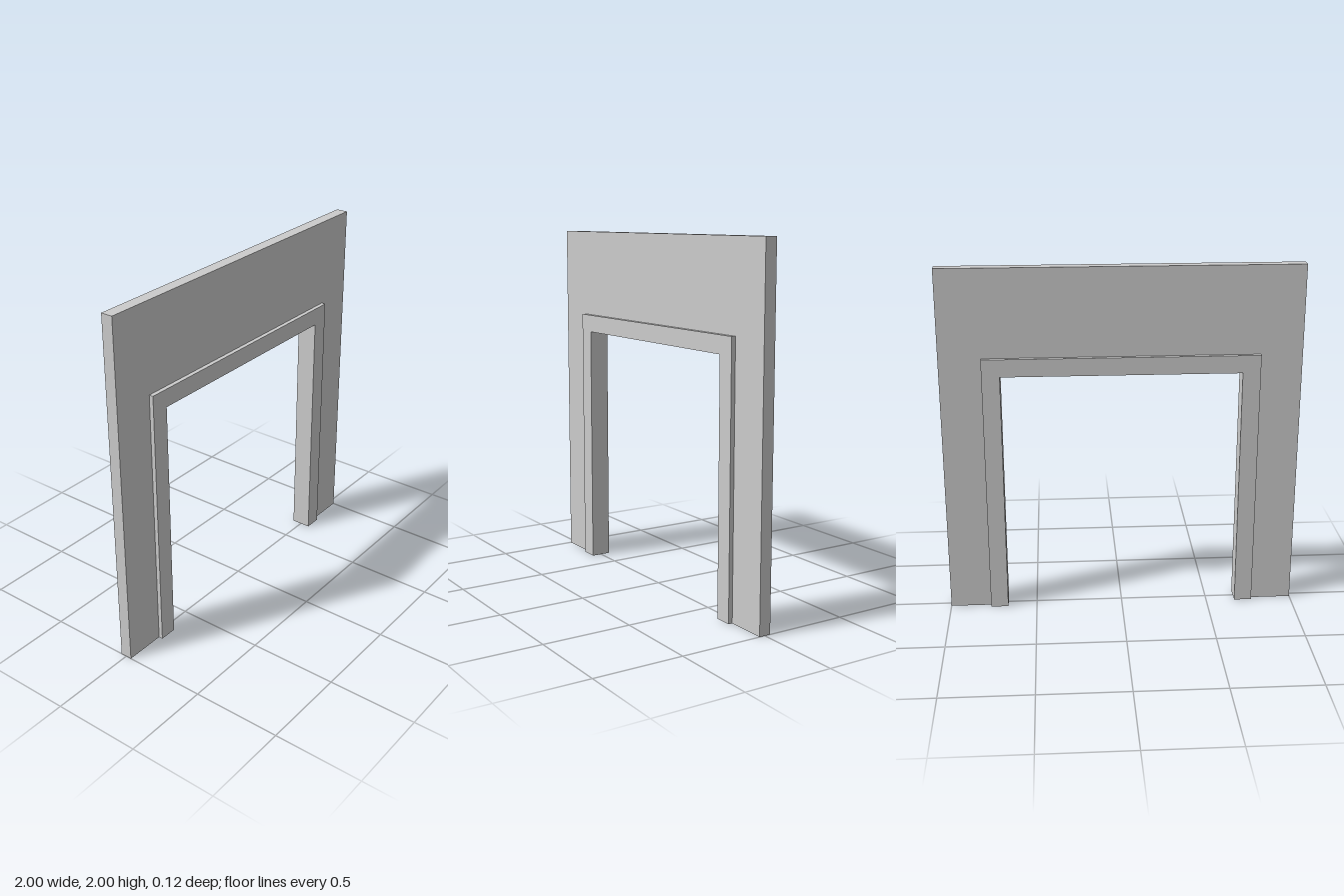
import * as THREE from 'three';

const material = new THREE.MeshStandardMaterial({ color: 0xcccccc, flatShading: true });

// Upside-down U standing on y = 0, extruded evenly to both sides of z = 0
function portal(name, outerX, outerY, innerX, innerY, depth) {
  const shape = new THREE.Shape([
    [-outerX, 0], [-innerX, 0], [-innerX, innerY], [innerX, innerY],
    [innerX, 0], [outerX, 0], [outerX, outerY], [-outerX, outerY],
  ].map(([x, y]) => new THREE.Vector2(x, y)));
  const geometry = new THREE.ExtrudeGeometry(shape, { depth, bevelEnabled: false });
  geometry.translate(0, 0, -depth / 2);
  const mesh = new THREE.Mesh(geometry, material);
  mesh.name = name;
  return mesh;
}

export function createModel() {
  const model = new THREE.Group();
  model.name = 'doorwayWall';

  // Opening half-width and height, then the trim width around it
  const openX = 0.667, openY = 1.403, trim = 0.1;

  // Wall panel, cut out to receive the frame
  model.add(portal('wall', 1, 2, openX + trim, openY + trim, 0.067));
  // Door frame, standing proud of the wall on both faces
  model.add(portal('doorFrame', openX + trim, openY + trim, openX, openY, 0.115));

  return model;
}
